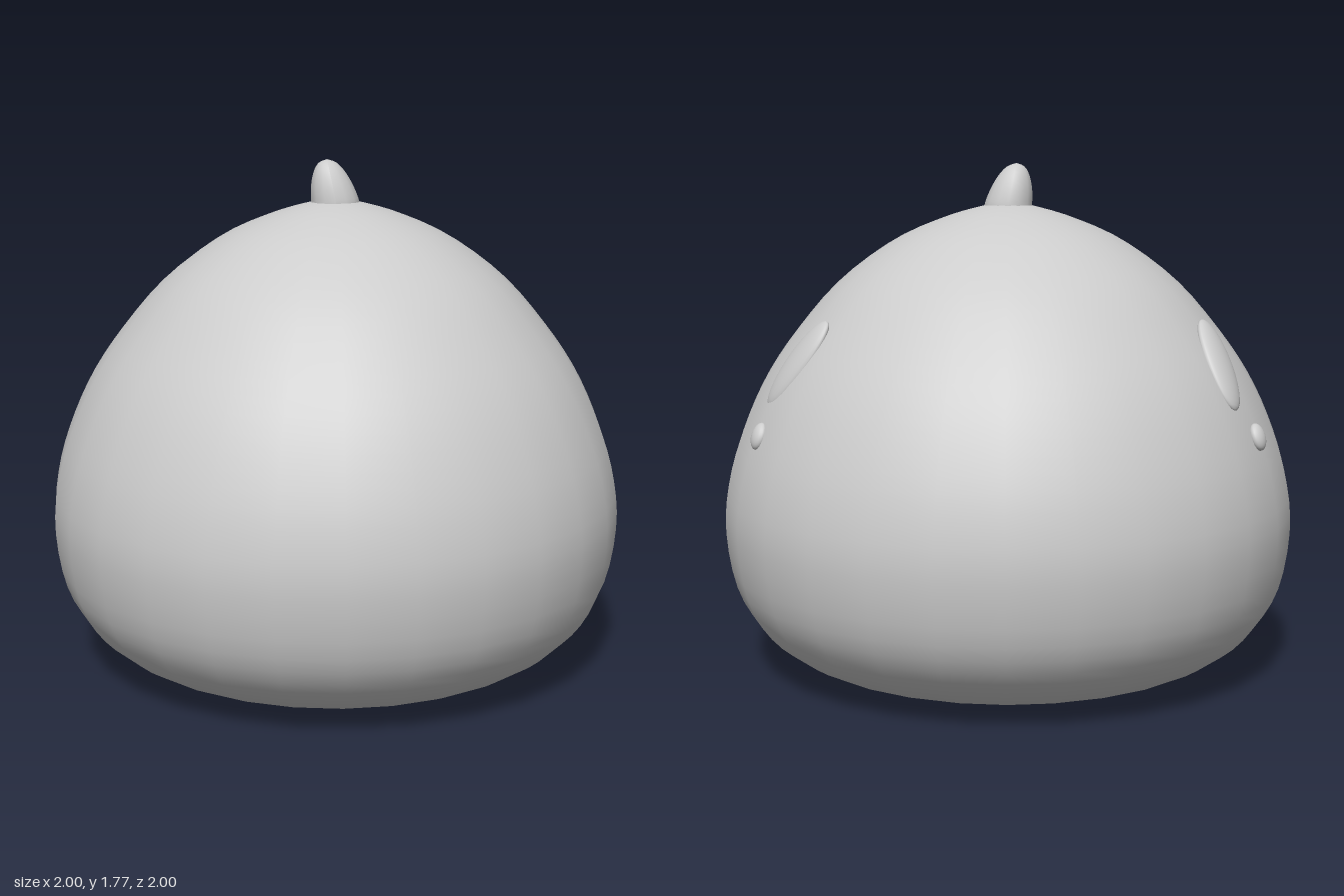
import * as THREE from 'three';

const V2 = (p) => new THREE.Vector2(p[0], p[1]);
const lathe = (points, samples, sides) =>
  new THREE.LatheGeometry(new THREE.SplineCurve(points.map(V2)).getPoints(samples)
    .map((p) => new THREE.Vector2(Math.max(p.x, 0), p.y)), sides);

export function createModel() {
  const model = new THREE.Group();
  const grey = new THREE.MeshStandardMaterial({ color: 0xcccccc });
  grey.name = 'plain grey';

  const add = (name, geometry) => {
    const mesh = new THREE.Mesh(geometry, grey);
    mesh.name = name;
    model.add(mesh);
    return mesh;
  };

  // Plump dome body with a flat underside and a rounded lower edge
  add('body', lathe([
    [0, 0.003], [0.3, 0.005], [0.6, 0.027], [0.75, 0.068], [0.88, 0.165],
    [0.965, 0.31], [1, 0.52], [0.982, 0.7], [0.93, 0.87], [0.85, 1.04],
    [0.74, 1.2], [0.59, 1.37], [0.4, 1.51], [0.22, 1.59], [0.08, 1.63], [0, 1.645],
  ], 48, 28));

  // Small tip on top, leaning towards -x
  const tip = lathe([
    [0.086, 1.6], [0.084, 1.64], [0.073, 1.69], [0.054, 1.735], [0.03, 1.764], [0, 1.775],
  ], 14, 14);
  const pos = tip.attributes.position;
  for (let i = 0; i < pos.count; i++) {
    pos.setX(i, pos.getX(i) - 0.2 * Math.max(0, pos.getY(i) - 1.63));
  }
  tip.computeVertexNormals();
  add('tip', tip);

  // Flattened oval lying on the body: centre, long direction, half sizes
  const spot = (name, centre, along, slope, size) => {
    const mesh = add(name, new THREE.SphereGeometry(1, 24, 16));
    const c = new THREE.Vector3(...centre);
    const normal = new THREE.Vector3(c.x, slope * Math.hypot(c.x, c.z), c.z).normalize();
    const side = new THREE.Vector3(...along).cross(normal).normalize();
    const long = normal.clone().cross(side);
    mesh.quaternion.setFromRotationMatrix(new THREE.Matrix4().makeBasis(side, long, normal));
    mesh.position.copy(c);
    mesh.scale.set(...size);
  };
  const large = [0.078, 0.175, 0.032];
  const small = [0.038, 0.047, 0.024];
  spot('leftLargeSpot', [0.695, 1.113, -0.372], [-0.2, 0.27, -0.02], 0.6, large);
  spot('rightLargeSpot', [-0.7, 1.113, -0.375], [0.08, 0.29, 0.19], 0.6, large);
  spot('leftSmallSpot', [0.823, 0.877, -0.417], [-0.05, 0.12, 0.06], 0.38, small);
  spot('rightSmallSpot', [-0.829, 0.877, -0.419], [0.05, 0.12, 0.06], 0.38, small);

  return model;
}
